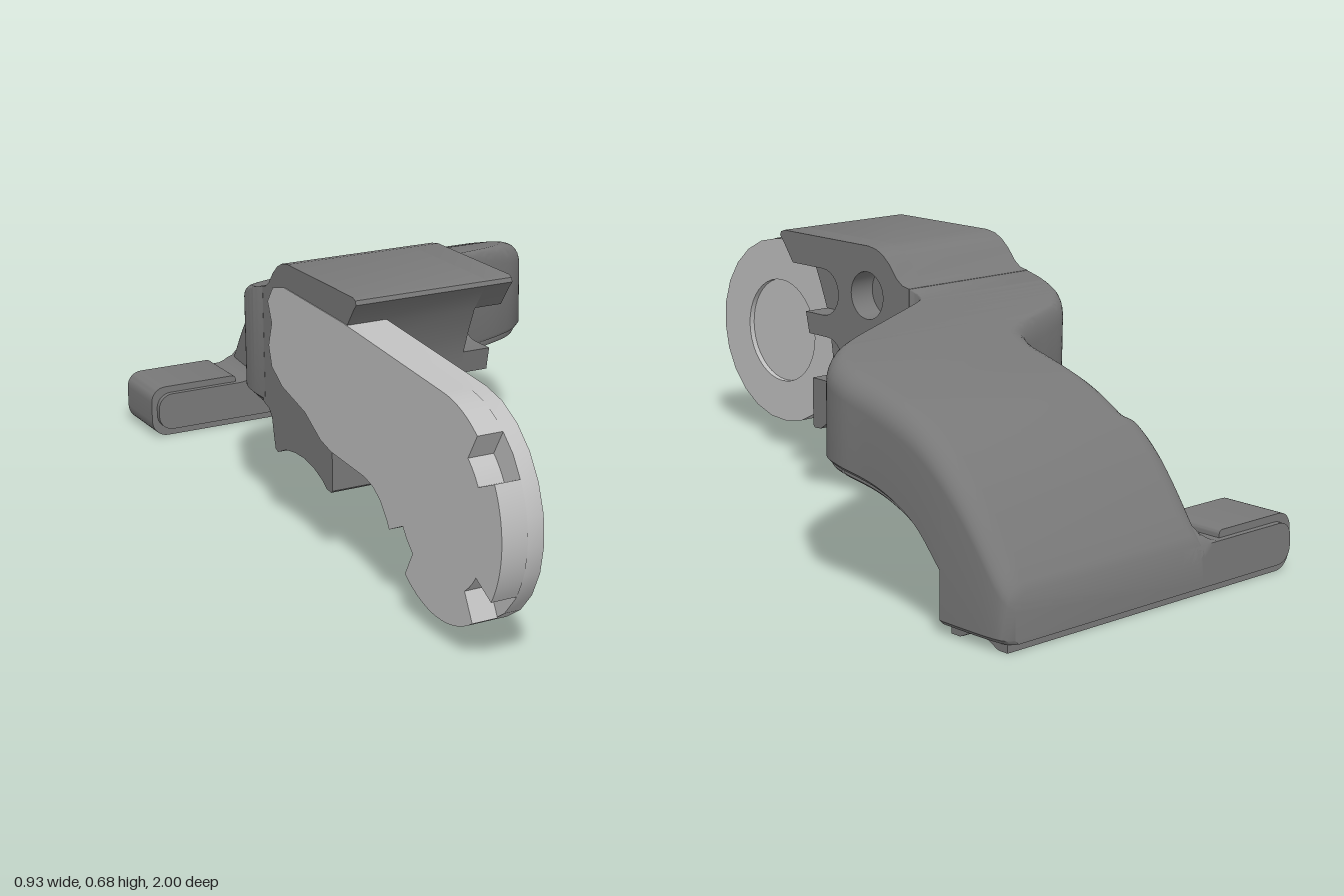
import * as THREE from 'three';
import { toCreasedNormals } from 'three/addons/utils/BufferGeometryUtils.js';

const bodyGrey = new THREE.MeshStandardMaterial({ color: 0x787878 });
bodyGrey.name = 'dark grey';
const armGrey = new THREE.MeshStandardMaterial({ color: 0xc0c0c0 });
armGrey.name = 'light grey';

function part(name, geometry, material, crease = 0.6) {
  const mesh = new THREE.Mesh(toCreasedNormals(geometry, crease), material);
  mesh.name = name;
  return mesh;
}

// Points of an arc, angles in degrees
function arc(cx, cy, r, a0, a1, n = 14) {
  return Array.from({ length: n + 1 }, (_, i) => {
    const a = THREE.MathUtils.degToRad(a0 + (a1 - a0) * i / n);
    return [cx + r * Math.cos(a), cy + r * Math.sin(a)];
  });
}

// Extrude a [z, y] outline across x0..x1
function sideExtrude(points, x0, x1, holes = []) {
  const flip = list => list.map(([z, y]) => new THREE.Vector2(-z, y));
  const shape = new THREE.Shape(flip(points));
  holes.forEach(h => shape.holes.push(new THREE.Path(flip(h))));
  return new THREE.ExtrudeGeometry(shape, { depth: x1 - x0, bevelEnabled: false })
    .rotateY(Math.PI / 2).translate(x0, 0, 0);
}

// Extrude an [x, y] outline along z0..z1, then move its vertices by a rule
function frontExtrude(points, z0, z1, rule) {
  const shape = new THREE.Shape(points.map(p => new THREE.Vector2(...p)));
  const g = new THREE.ExtrudeGeometry(shape, { depth: z1 - z0, steps: 20, bevelEnabled: false })
    .translate(0, 0, z0);
  const p = g.attributes.position;
  for (let i = 0; i < p.count; i++) p.setY(i, rule(p.getX(i), p.getY(i), p.getZ(i)));
  return g;
}

// Smooth lookup through [z, value] points listed from front to back
function lookup(points) {
  const pts = new THREE.CatmullRomCurve3(points.map(([z, v]) => new THREE.Vector3(z, v, 0))).getPoints(160);
  return z => {
    if (z >= pts[0].x) return pts[0].y;
    for (let i = 1; i < pts.length; i++) {
      if (z >= pts[i].x) {
        const a = pts[i - 1], b = pts[i];
        return a.y + (b.y - a.y) * (z - a.x) / (b.x - a.x || 1);
      }
    }
    return pts[pts.length - 1].y;
  };
}

const leftEdge = lookup([[-0.1, -0.45], [-0.2, -0.45], [-0.26, -0.435], [-0.32, -0.385], [-0.355, -0.31],
  [-0.385, -0.23], [-0.42, -0.165], [-0.49, -0.127], [-0.55, -0.123], [-0.75, -0.123], [-0.785, -0.13], [-0.8, -0.15], [-1, -0.15]]);
const rightEdge = lookup([[-0.1, -0.045], [-0.16, -0.045], [-0.185, -0.03], [-0.2, 0.0], [-0.26, 0.165], [-0.325, 0.34],
  [-0.36, 0.405], [-0.4, 0.443], [-0.46, 0.463], [-0.55, 0.465], [-0.96, 0.465], [-0.988, 0.457], [-1, 0.44]]);
const topEdge = lookup([[-0.1, 0.594], [-0.28, 0.553], [-0.52, 0.503], [-0.72, 0.437], [-0.85, 0.335], [-0.965, 0.19], [-1, 0.13]]);
const underside = lookup([[-0.1, 0.295], [-0.4, 0.295], [-0.475, 0.29], [-0.61, 0.265], [-0.715, 0.215], [-0.8, 0.13]]);
const lowerEdge = z => (z < -0.8 ? 0.02 : underside(z));

// Loft rounded cross-sections along z; section(z) gives left, right, bottom, top, top radius
function loft(zs, section) {
  const pos = [], idx = [];
  let n = 0;
  zs.forEach(z => {
    const [l, r, b, t, rad] = section(z), s = Math.min(0.01, (t - b) * 0.2);
    const ring = [[l, b + s], [l + s, b], [r - s, b], [r, b + s],
      ...arc(r - rad, t - rad, rad, 0, 90, 7), ...arc(l + rad, t - rad, rad, 90, 180, 7)];
    n = ring.length;
    ring.forEach(([x, y]) => pos.push(x, y, z));
  });
  for (let i = 0; i < zs.length - 1; i++) {
    for (let j = 0; j < n; j++) {
      const k = (j + 1) % n, a = i * n + j, d = i * n + k;
      idx.push(a, a + n, d + n, a, d + n, d);
    }
  }
  const last = (zs.length - 1) * n;
  for (let j = 1; j < n - 1; j++) idx.push(0, j, j + 1, last, last + j + 1, last + j);
  const g = new THREE.BufferGeometry();
  g.setAttribute('position', new THREE.Float32BufferAttribute(pos, 3));
  g.setIndex(idx);
  return g;
}
const range = (a, b, n) => Array.from({ length: n + 1 }, (_, i) => a + (b - a) * i / n);

function makeBlock() {
  const block = new THREE.Group();
  block.name = 'block';
  const lip = [[0.35, 0.675], [0.362, 0.67], [0.366, 0.66], [0.355, 0.648]];
  const front = [[0.315, 0.595], [0.285, 0.53], [0.263, 0.475], [0.25, 0.42], [0.24, 0.36], [0.237, 0.305]];
  const slotted = [
    [0.315, 0.595], ...arc(0.195, 0.535, 0.06, 90, 270), [0.263, 0.475],
    [0.25, 0.42], ...arc(0.178, 0.3625, 0.0575, 90, 270), [0.237, 0.305]];
  const rest = [[0.235, 0.18], [0.228, 0.174], [0.205, 0.176], [0.185, 0.19], [0.14, 0.207], [0.09, 0.216], [0.04, 0.215],
    [-0.01, 0.207], [-0.055, 0.188], [-0.068, 0.193], [-0.075, 0.22], [-0.085, 0.27], [-0.1, 0.287], [-0.13, 0.296],
    [-0.13, 0.588], [-0.105, 0.593], [-0.085, 0.607], [-0.06, 0.637], [-0.035, 0.658], [-0.01, 0.67], [0.02, 0.675]];
  block.add(
    part('blockCore', sideExtrude([...lip, ...front, ...rest], -0.45, -0.115), bodyGrey),
    part('blockSocketSide', sideExtrude([...lip, ...slotted, ...rest], -0.115, -0.045,
      [arc(0.025, 0.55, 0.06, 0, 360, 32).slice(0, -1)]), bodyGrey));
  return block;
}

function makeArm() {
  const arm = new THREE.Group();
  arm.name = 'arm';
  const cz = 0.74, cy = 0.31;
  const notches = [40, -45, -138];
  // Rim runs clockwise from the top, optionally cut by notches
  const rim = cut => {
    const out = [];
    let from = 85;
    if (cut) {
      for (const a of notches) {
        out.push(...arc(cz, cy, 0.26, from, a + 12), ...arc(cz, cy, 0.19, a + 10, a - 10, 6));
        from = a - 12;
      }
    }
    return [...out, ...arc(cz, cy, 0.26, from, -154, 16)];
  };
  const tail = [[0.475, 0.235], [0.44, 0.257], [0.4, 0.268], [0.235, 0.277], [0.18, 0.29], [0.1, 0.335], [-0.02, 0.365],
    [-0.075, 0.4], [-0.09, 0.45], [-0.07, 0.51], [-0.09, 0.56], [-0.06, 0.6], [0, 0.615], [0.3, 0.605]];
  const recess = arc(cz, cy, 0.145, 0, 360, 40).slice(0, -1);
  arm.add(
    part('armNotchedPlate', sideExtrude([...rim(true), ...tail], -0.452, -0.39), armGrey),
    part('armFrontPlate', sideExtrude([...rim(false), ...tail], -0.39, -0.35, [recess]), armGrey),
    part('armRecessFloor', sideExtrude(recess, -0.39, -0.365), armGrey));
  return arm;
}

function makeLever() {
  const lever = new THREE.Group();
  lever.name = 'lever';
  const zs = [...range(-0.12, -0.5, 60), ...range(-0.51, -0.7995, 24), ...range(-0.8005, -1, 20)];
  lever.add(part('leverBody', loft(zs, z => {
    const b = lowerEdge(z), t = topEdge(z);
    const ramp = THREE.MathUtils.smoothstep(-z, 0.13, 0.4);
    return [leftEdge(z), rightEdge(z), b, t, Math.min(0.002 + 0.058 * ramp, (t - b) * 0.35)];
  }), bodyGrey, 0.7));

  // Thin lining under the lever, in two pieces
  [[-0.15, -0.452], [-0.462, -0.785]].forEach(([a, b]) => {
    lever.add(part('underLining', loft(range(a, b, 30), z => {
      const y = underside(z);
      return [leftEdge(z) + 0.02, rightEdge(z) - 0.018, y - 0.016, y + 0.01, 0.004];
    }), bodyGrey));
  });

  // Finger hook with a fillet into the lever
  const hook = [[-0.08, 0.02], ...arc(-0.41, 0.06, 0.04, 270, 180, 8), ...arc(-0.41, 0.08, 0.04, 180, 90, 8),
    ...arc(-0.21, 0.21, 0.09, 270, 355, 10), [-0.08, 0.22]];
  lever.add(part('hook', frontExtrude(hook, -1, -0.8,
    (x, y, z) => Math.min(y, Math.max(0.12, topEdge(z) - 0.012))), bodyGrey));

  // Grip lining wrapping the hook tip, grooved underneath
  const grip = [[0.447, 0.025], [0.447, 0], ...arc(-0.42, 0.045, 0.045, 270, 180, 8),
    ...arc(-0.425, 0.098, 0.04, 180, 90, 8), ...arc(-0.225, 0.128, 0.01, 90, 0, 4), [-0.215, 0.1], [-0.3, 0.025]];
  lever.add(part('hookGrip', frontExtrude(grip, -0.985, -0.815,
    (x, y, z) => (y < 0.012 ? y + 0.019 * Math.max(0, 1 - ((z + 0.9) / 0.055) ** 2) : y)), bodyGrey));
  return lever;
}

export function createModel() {
  const model = new THREE.Group();
  model.name = 'leverAssembly';
  model.add(makeBlock(), makeArm(), makeLever());
  return model;
}
